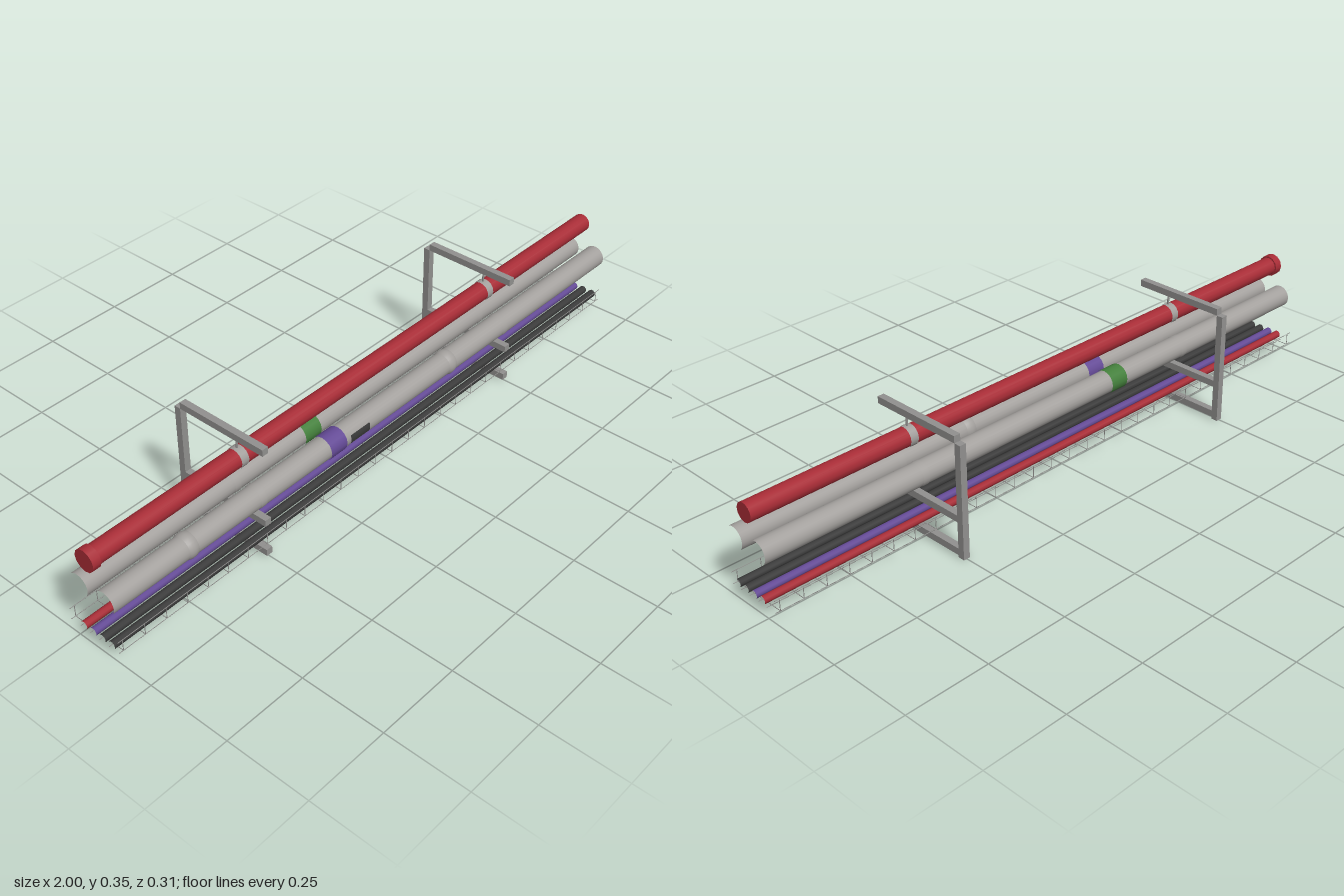
import * as THREE from 'three';

const mat = (name, color, extra = {}) => {
  const m = new THREE.MeshStandardMaterial({ color, ...extra });
  m.name = name;
  return m;
};

export function createModel() {
  const red = mat('red', 0xa82c36);
  const pipeGrey = mat('pipe grey', 0xa3a09d);
  const steel = mat('steel', 0x92918f);
  const purple = mat('purple', 0x644a96);
  const green = mat('green', 0x44803c);
  const dark = mat('dark', 0x3a3a3a);
  const model = new THREE.Group();
  model.name = 'pipeRack';

  const add = (name, geo, material, x, y, z, parent = model) => {
    const m = new THREE.Mesh(geo, material);
    m.name = name;
    m.position.set(x, y, z);
    parent.add(m);
    return m;
  };
  // Cylinder lying along x
  const rod = (r, len, sides, open = true) =>
    new THREE.CylinderGeometry(r, r, len, sides, 1, open).rotateZ(-Math.PI / 2);

  // Support frames: one post with three arms
  for (const x of [-0.5, 0.5]) {
    const frame = new THREE.Group();
    frame.name = 'supportFrame';
    model.add(frame);
    add('post', new THREE.BoxGeometry(0.02, 0.335, 0.02), steel, x, 0.1675, -0.144, frame);
    for (const y of [0.017, 0.116, 0.345])
      add('arm', new THREE.BoxGeometry(0.02, 0.02, 0.289), steel, x, y, 0.0105, frame);
    add('hangerRod', new THREE.CylinderGeometry(0.003, 0.003, 0.032, 8), steel, x, 0.32, 0.056, frame);
    add('hangerClamp', rod(0.0295, 0.025, 16), pipeGrey, x, 0.276, 0.056, frame);
  }

  // Red upper pipe with an end cap
  add('upperPipe', rod(0.0275, 2, 16, false), red, 0, 0.276, 0.056);
  add('upperPipeCap', rod(0.0325, 0.025, 12, false), red, -0.9875, 0.276, 0.056);

  // Two open grey pipes with clamps and coloured bands
  const pipeY = 0.178, pipeR = 0.033;
  for (const [z, bandColor] of [[0.112, purple], [0.021, green]]) {
    add('greyPipe', rod(pipeR, 2, 24), pipeGrey, 0, pipeY, z);
    add('pipeBand', rod(0.0355, 0.06, 16), bandColor, -0.22, pipeY, z);
    for (const x of [-0.5, 0.5])
      add('pipeClamp', rod(0.0342, 0.02, 24), pipeGrey, x, pipeY, z);
  }

  // Slightly swollen joints on the front pipe
  const bulge = [-0.015, -0.008, 0, 0.008, 0.015].map(
    (t) => new THREE.Vector2(Math.sqrt(0.0363 ** 2 - t * t), t));
  for (const x of [-0.74, 0.26])
    add('pipeJoint', new THREE.LatheGeometry(bulge, 24).rotateZ(-Math.PI / 2), pipeGrey, x, pipeY, 0.112);

  // Dark plate curved on the front of the front pipe
  const plate = new THREE.CylinderGeometry(0.0338, 0.0338, 0.075, 8, 1, true, Math.PI / 2 - 0.4, 0.8);
  plate.rotateY(-Math.PI / 2).rotateZ(-Math.PI / 2);
  add('markerPlate', plate, dark, -0.135, pipeY, 0.112);

  // Cables lying in the tray
  [red, purple, dark, dark].forEach((m, i) =>
    add('cable', rod(0.0115, 2, 10), m, 0, 0.043, 0.02 + i * 0.033));

  // Wire basket tray: long wires and U-shaped cross wires
  const tray = new THREE.Group();
  tray.name = 'cableTray';
  model.add(tray);
  const back = -0.03, front = 0.142, low = 0.03, high = 0.065, w = 0.001;
  for (const z of [back, front]) add('sideWire', rod(w, 2, 6), steel, 0, high, z, tray);
  for (let i = 0; i < 6; i++)
    add('floorWire', rod(w, 2, 6), steel, 0, low, back + (front - back) * i / 5, tray);
  const upright = new THREE.CylinderGeometry(w, w, high - low, 6);
  const cross = new THREE.CylinderGeometry(w, w, front - back, 6).rotateX(Math.PI / 2);
  for (let i = 0; i <= 28; i++) {
    const x = -0.985 + (i * 1.97) / 28;
    add('crossWire', cross, steel, x, low, (front + back) / 2, tray);
    for (const z of [back, front])
      add('uprightWire', upright, steel, x, (low + high) / 2, z, tray);
  }
  return model;
}
